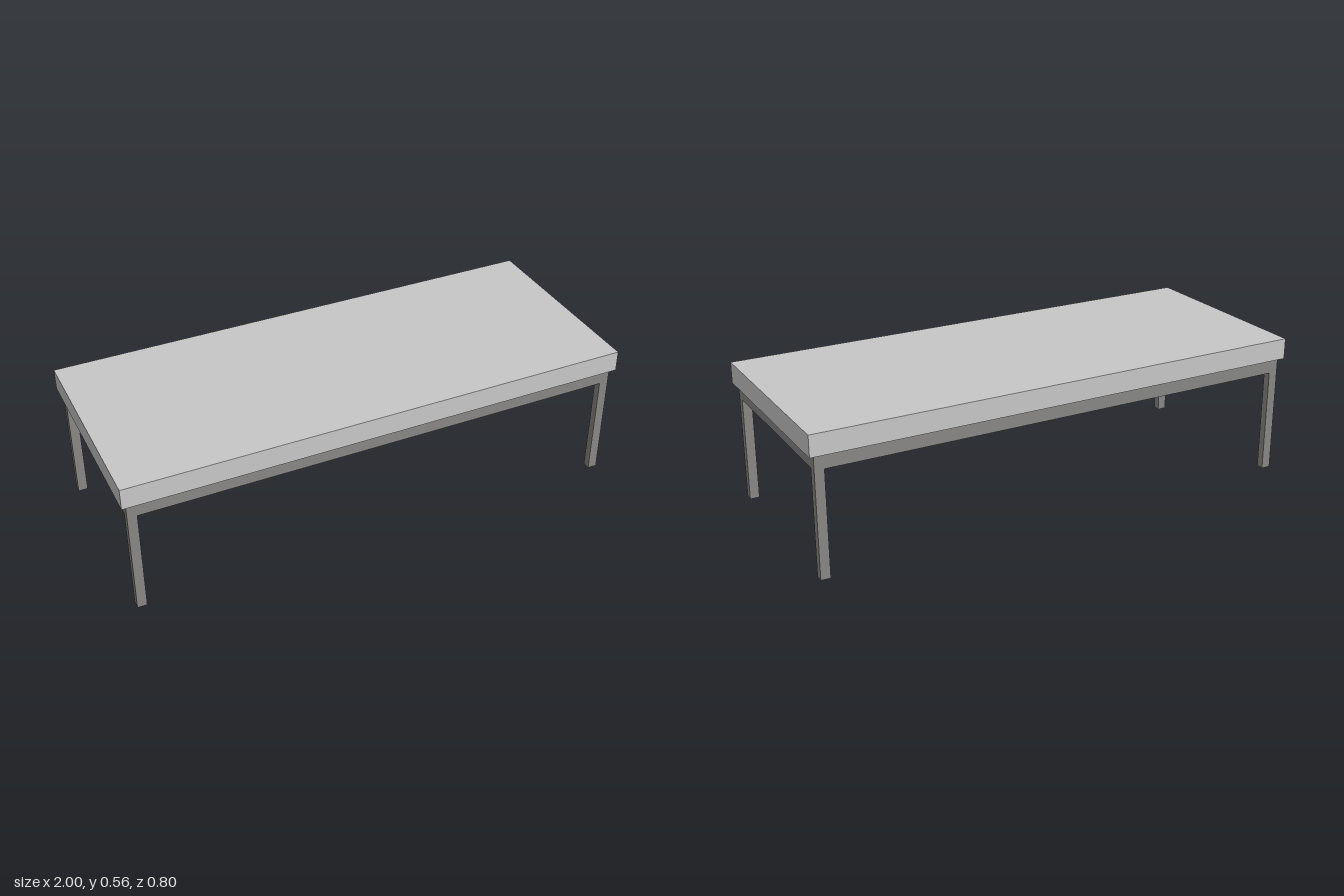
import * as THREE from 'three';

export function createModel() {
  const table = new THREE.Group();
  table.name = 'table';
  const topGrey = new THREE.MeshStandardMaterial({ color: 0xc8c8c8 });
  topGrey.name = 'light grey top';
  const frameGrey = new THREE.MeshStandardMaterial({ color: 0x888785 });
  frameGrey.name = 'dark grey frame';

  const addBox = (name, material, size, position) => {
    const mesh = new THREE.Mesh(new THREE.BoxGeometry(...size), material);
    mesh.name = name;
    mesh.position.set(...position);
    table.add(mesh);
  };

  const slabBottom = 0.472, slabTop = 0.555, railBottom = 0.415;
  const halfX = 0.981, halfZ = 0.386; // outer faces of the frame
  const legX = 0.037, legZ = 0.031, rail = 0.028;
  const railHeight = slabBottom - railBottom;
  const railY = (slabBottom + railBottom) / 2;

  // Thick slab top, overhanging the frame
  addBox('tableTop', topGrey, [2, slabTop - slabBottom, 0.804], [0, (slabTop + slabBottom) / 2, 0]);

  for (const s of [1, -1]) {
    // Apron rails running between the legs
    addBox(s > 0 ? 'frontRail' : 'backRail', frameGrey,
      [2 * (halfX - legX), railHeight, rail], [0, railY, s * (halfZ - rail / 2)]);
    addBox(s > 0 ? 'leftRail' : 'rightRail', frameGrey,
      [rail, railHeight, 2 * (halfZ - legZ)], [s * (halfX - rail / 2), railY, 0]);

    // Square corner legs
    for (const t of [1, -1]) {
      addBox((t > 0 ? 'front' : 'back') + (s > 0 ? 'Left' : 'Right') + 'Leg', frameGrey,
        [legX, slabBottom, legZ],
        [s * (halfX - legX / 2), slabBottom / 2, t * (halfZ - legZ / 2)]);
    }
  }
  return table;
}
